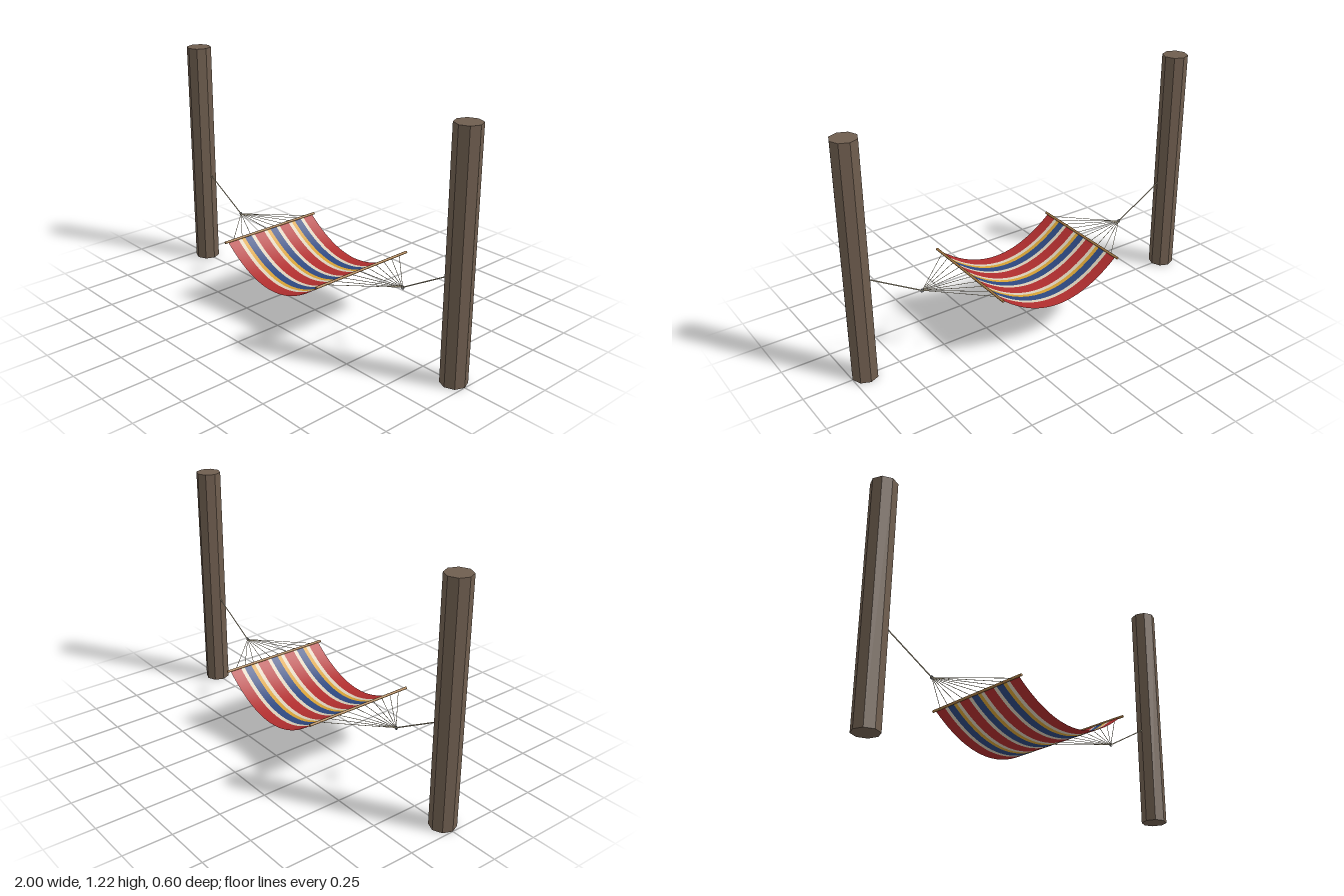
import * as THREE from 'three';

const material = (name, color, extra = {}) => {
  const m = new THREE.MeshStandardMaterial({ color, ...extra });
  m.name = name;
  return m;
};

const BAR_X = 0.345, BAR_Y = 0.352, RING_X = 0.605, SAG_Y = 0.203;

export function createModel() {
  const group = new THREE.Group();
  const wood = material('post wood', 0x6f5e4f, { flatShading: true });
  const barWood = material('bar wood', 0xa87b45);
  const rope = material('rope', 0xcfc3a6);
  const metal = material('ring metal', 0x70747a);
  const cloth = { side: THREE.DoubleSide };
  const red = material('red cloth', 0xb02e2e, cloth);
  const cream = material('cream cloth', 0xd8cdb8, cloth);
  const blue = material('blue cloth', 0x2d4880, cloth);
  const gold = material('gold cloth', 0xd6a034, cloth);

  const add = (name, geometry, mat, x = 0, y = 0, z = 0) => {
    const mesh = new THREE.Mesh(geometry, mat);
    mesh.name = name;
    mesh.position.set(x, y, z);
    group.add(mesh);
    return mesh;
  };

  // Straight round rod between two points
  const rod = (name, a, b, radius, mat, sides = 6) => {
    const dir = b.clone().sub(a);
    const mesh = add(name, new THREE.CylinderGeometry(radius, radius, dir.length(), sides), mat);
    mesh.position.copy(a).add(b).multiplyScalar(0.5);
    mesh.quaternion.setFromUnitVectors(new THREE.Vector3(0, 1, 0), dir.normalize());
  };

  // Sagging cloth strip between two z positions
  const strip = (z0, z1) => {
    const g = new THREE.PlaneGeometry(2 * BAR_X, z1 - z0, 24, 1);
    g.rotateX(-Math.PI / 2);
    g.translate(0, 0, (z0 + z1) / 2);
    const p = g.attributes.position;
    for (let i = 0; i < p.count; i++) {
      const t = p.getX(i) / BAR_X;
      p.setY(i, SAG_Y + (BAR_Y - SAG_Y) * t * t);
    }
    g.computeVertexNormals();
    return g;
  };

  // Striped bed: one repeating band, closed by a last red stripe
  const band = [[red, 3], [cream, 1], [blue, 2], [gold, 1], [cream, 1]];
  const stripes = [...band, ...band, ...band, [red, 3]];
  const unit = 0.57 / 27;
  let z = -0.285;
  for (const [mat, width] of stripes) {
    add('clothStripe', strip(z, z + width * unit), mat);
    z += width * unit;
  }

  for (const side of [-1, 1]) {
    const label = side > 0 ? 'left' : 'right';
    const knot = new THREE.Vector3(side * RING_X, BAR_Y, 0);

    // Post and spreader bar
    add(label + 'Post', new THREE.CylinderGeometry(0.065, 0.065, 1.22, 8), wood, side * 0.935, 0.61, 0);
    rod(label + 'SpreaderBar', new THREE.Vector3(side * BAR_X, BAR_Y, -0.302),
      new THREE.Vector3(side * BAR_X, BAR_Y, 0.302), 0.0065, barWood, 8);

    // Ring and hanging rope
    add(label + 'Ring', new THREE.TorusGeometry(0.008, 0.0025, 6, 16), metal, knot.x, knot.y, 0);
    rod(label + 'HangingRope', knot, new THREE.Vector3(side * 0.88, 0.51, 0), 0.003, rope);

    // Fan of cords from the ring to the bar
    for (let i = 0; i < 10; i++) {
      rod(label + 'Cord', knot, new THREE.Vector3(side * BAR_X, BAR_Y, -0.25 + i * 0.5 / 9), 0.0014, rope, 5);
    }
  }
  return group;
}
